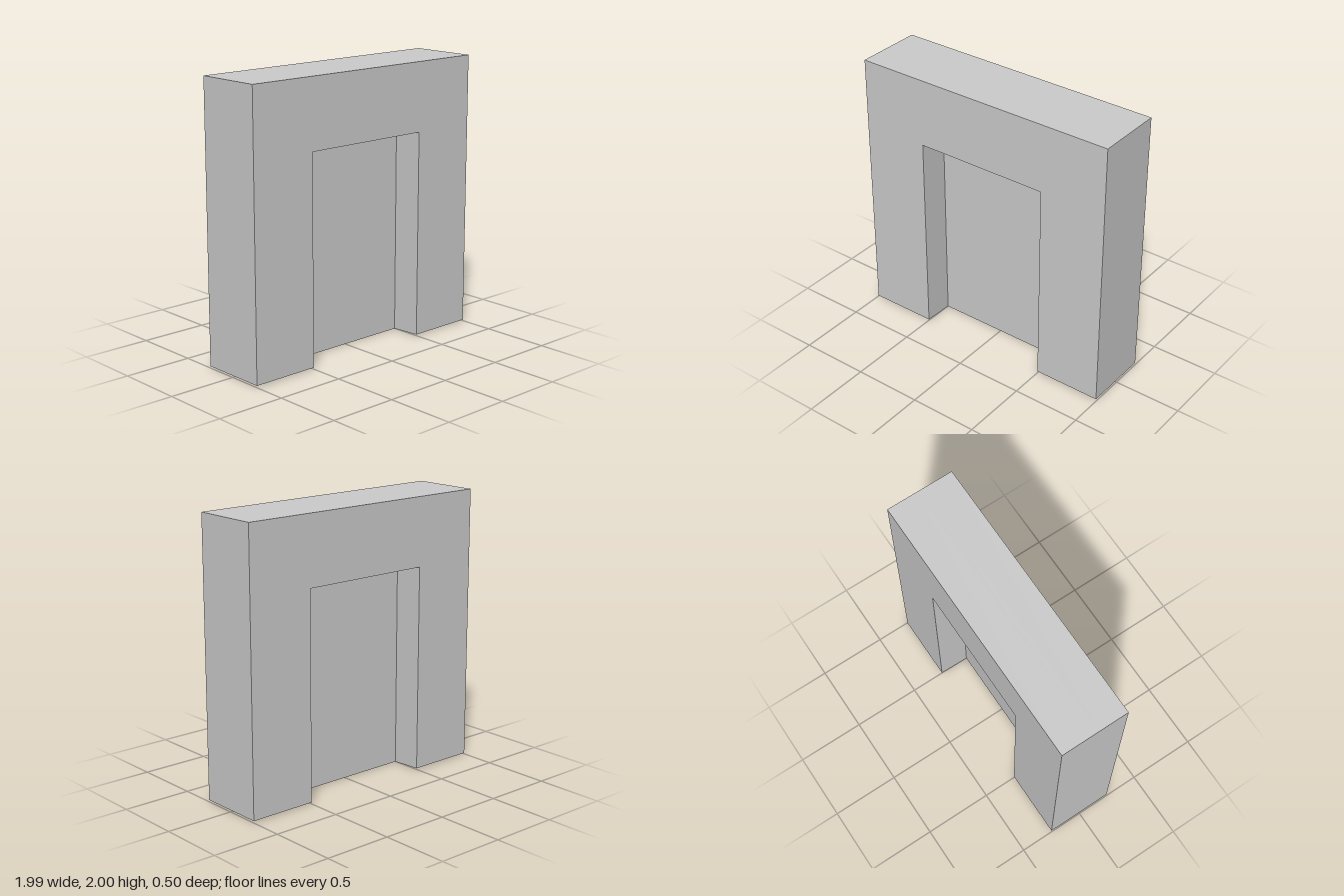
import * as THREE from 'three';

const HALF_WIDTH = 0.995, HALF_OPENING = 0.4975, HALF_DEPTH = 0.2487, HALF_PANEL = 0.025;
const FOOT = 0.01, LINTEL = 1.5025, TOP = 2;

// Portal outline extruded front to back; its inner feet dip to meet the panel
function frameGeometry() {
  const outline = new THREE.Shape([
    [-HALF_WIDTH, FOOT], [-HALF_OPENING, FOOT], [-HALF_OPENING, LINTEL], [HALF_OPENING, LINTEL],
    [HALF_OPENING, FOOT], [HALF_WIDTH, FOOT], [HALF_WIDTH, TOP], [-HALF_WIDTH, TOP],
  ].map(([x, y]) => new THREE.Vector2(x, y)));
  const geometry = new THREE.ExtrudeGeometry(outline, { depth: 2 * HALF_DEPTH, steps: 3, bevelEnabled: false });
  geometry.translate(0, 0, -HALF_DEPTH);
  const p = geometry.attributes.position;
  for (let i = 0; i < p.count; i++) {
    if (Math.abs(p.getZ(i)) > HALF_DEPTH * 0.9) continue;
    p.setZ(i, Math.sign(p.getZ(i)) * HALF_PANEL);
    if (p.getY(i) < 0.1 && Math.abs(p.getX(i)) < 0.6) p.setY(i, 0);
  }
  geometry.computeVertexNormals();
  return geometry;
}

export function createModel() {
  const model = new THREE.Group();
  model.name = 'doorway';
  const material = new THREE.MeshStandardMaterial({ color: 0xcccccc, flatShading: true });

  const frame = new THREE.Mesh(frameGeometry(), material);
  frame.name = 'frame';

  // Thin panel filling the opening, midway through the frame
  const panel = new THREE.Mesh(new THREE.BoxGeometry(2 * HALF_OPENING, LINTEL, 2 * HALF_PANEL), material);
  panel.name = 'panel';
  panel.position.y = LINTEL / 2;

  model.add(frame, panel);
  return model;
}
